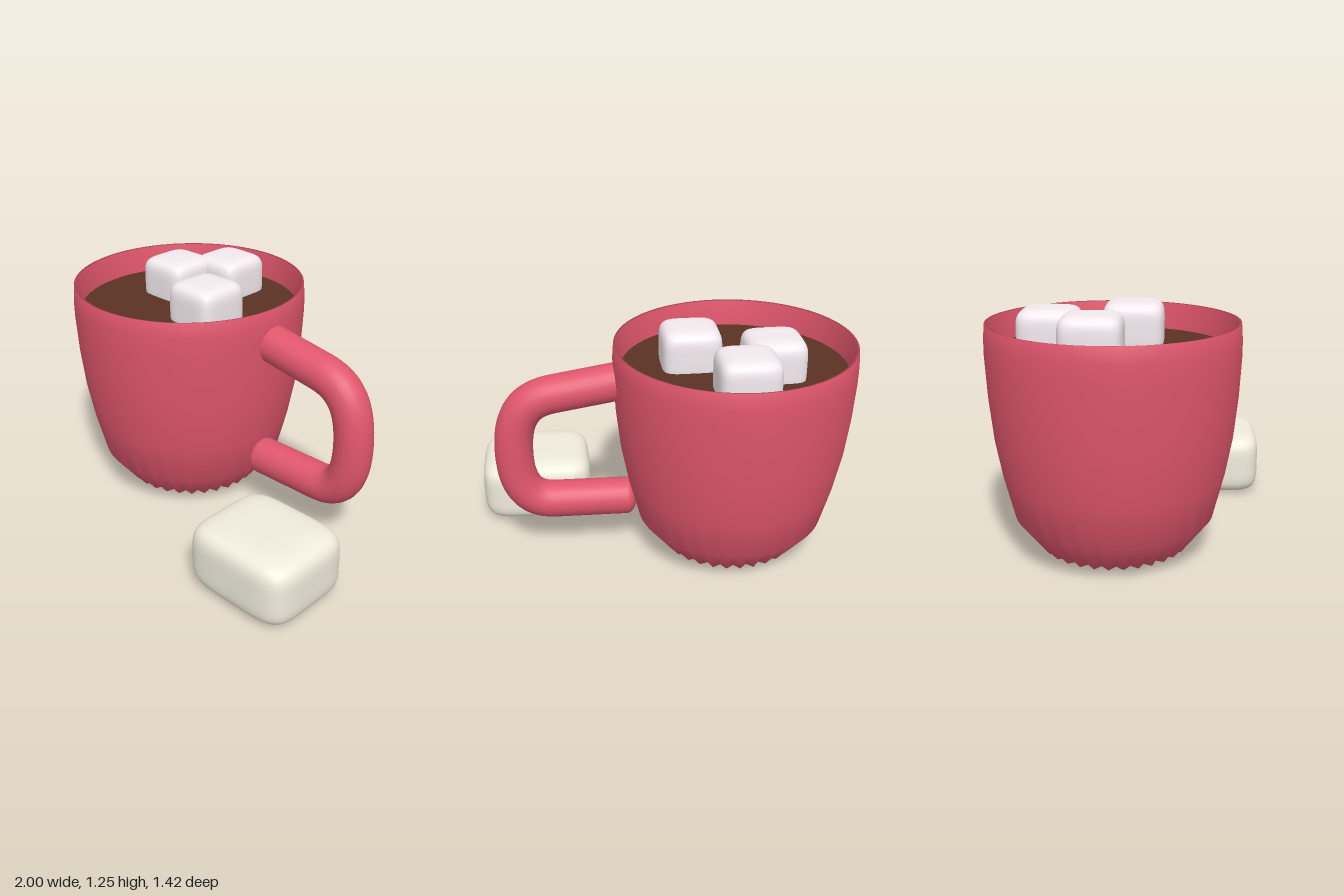
import * as THREE from 'three';
import { mergeVertices } from 'three/addons/utils/BufferGeometryUtils.js';

const mat = (color) => new THREE.MeshStandardMaterial({ color });

function add(parent, name, geometry, material, x = 0, y = 0, z = 0) {
  const mesh = new THREE.Mesh(geometry, material);
  mesh.name = name;
  mesh.position.set(x, y, z);
  parent.add(mesh);
  return mesh;
}

// Weld seams so that the shading runs smoothly over the whole surface
function smooth(geometry) {
  geometry.deleteAttribute('uv');
  geometry.deleteAttribute('normal');
  const welded = mergeVertices(geometry, 1e-4);
  welded.computeVertexNormals();
  return welded;
}

// Soft pillow block: a box pulled onto a superellipsoid
function pillow(w, h, d, n = 5) {
  const geometry = new THREE.BoxGeometry(2, 2, 2, 14, 14, 14);
  const p = geometry.attributes.position;
  for (let i = 0; i < p.count; i++) {
    const [x, y, z] = [p.getX(i), p.getY(i), p.getZ(i)];
    const k = (Math.abs(x) ** n + Math.abs(y) ** n + Math.abs(z) ** n) ** (-1 / n);
    p.setXYZ(i, (x * k * w) / 2, (y * k * h) / 2, (z * k * d) / 2);
  }
  return smooth(geometry);
}

// Mug wall, outside up and inside down, with a fluted foot ring
function mugGeometry() {
  const profile = [
    [0, 0], [0.372, 0.04], [0.505, 0.21], [0.56, 0.43], [0.595, 0.62], [0.617, 0.83],
    [0.628, 1.03], [0.628, 1.11], [0.622, 1.19], [0.606, 1.187], [0.592, 1.03],
    [0.56, 0.62], [0.47, 0.24], [0, 0.1],
  ].map(([r, y]) => new THREE.Vector2(r, y));
  const geometry = new THREE.LatheGeometry(profile, 64);
  const p = geometry.attributes.position;
  for (let i = 0; i < p.count; i++) {
    const column = Math.floor(i / profile.length);
    if (i % profile.length === 1 && column % 2) {
      p.setXYZ(i, p.getX(i) * 0.94, 0.05, p.getZ(i) * 0.94);
    }
  }
  return smooth(geometry);
}

export function createModel() {
  const model = new THREE.Group();
  model.name = 'cocoaMug';
  const red = mat(0xe0566c);
  const white = mat(0xf3eaee);
  const cream = mat(0xf0ecdc);
  const brown = mat(0x5a3324);

  // Mug and drink
  const mug = new THREE.Group();
  mug.name = 'mug';
  mug.position.set(-0.372, 0, -0.085);
  model.add(mug);
  add(mug, 'mugBody', mugGeometry(), red);
  const cocoa = add(mug, 'cocoa', new THREE.CircleGeometry(0.591, 64), brown, 0, 1.05, 0);
  cocoa.rotation.x = -Math.PI / 2;

  // Handle with rounded ends
  const handle = new THREE.Group();
  handle.name = 'handle';
  handle.position.z = -0.085;
  model.add(handle);
  const path = new THREE.CurvePath();
  const v = (x, y) => new THREE.Vector3(x, y, 0);
  path.add(new THREE.LineCurve3(v(0.2, 0.313), v(0.58, 0.319)));
  path.add(new THREE.CubicBezierCurve3(v(0.58, 0.319), v(0.73, 0.321), v(0.785, 0.43), v(0.785, 0.61)));
  path.add(new THREE.CubicBezierCurve3(v(0.785, 0.61), v(0.785, 0.82), v(0.72, 0.92), v(0.57, 0.945)));
  path.add(new THREE.LineCurve3(v(0.57, 0.945), v(0.225, 1.0)));
  add(handle, 'handleBar', new THREE.TubeGeometry(path, 80, 0.1, 24, false), red);
  for (const [x, y, tilt] of [[0.2, 0.313, 0.016], [0.225, 1.0, -0.158]]) {
    const cap = add(handle, 'handleEnd', new THREE.SphereGeometry(0.1, 24, 16), red, x, y, 0);
    cap.scale.x = 0.58;
    cap.rotation.z = tilt;
  }

  // Floating marshmallows
  const small = pillow(0.31, 0.27, 0.31);
  for (const [x, z] of [[-0.375, -0.395], [-0.55, -0.175], [-0.152, 0.003]]) {
    add(model, 'floatingMarshmallow', small, white, x, 1.12, z);
  }

  // Large marshmallow beside the mug
  add(model, 'largeMarshmallow', pillow(0.62, 0.355, 0.53), cream, 0.69, 0.1775, 0.445);

  return model;
}
